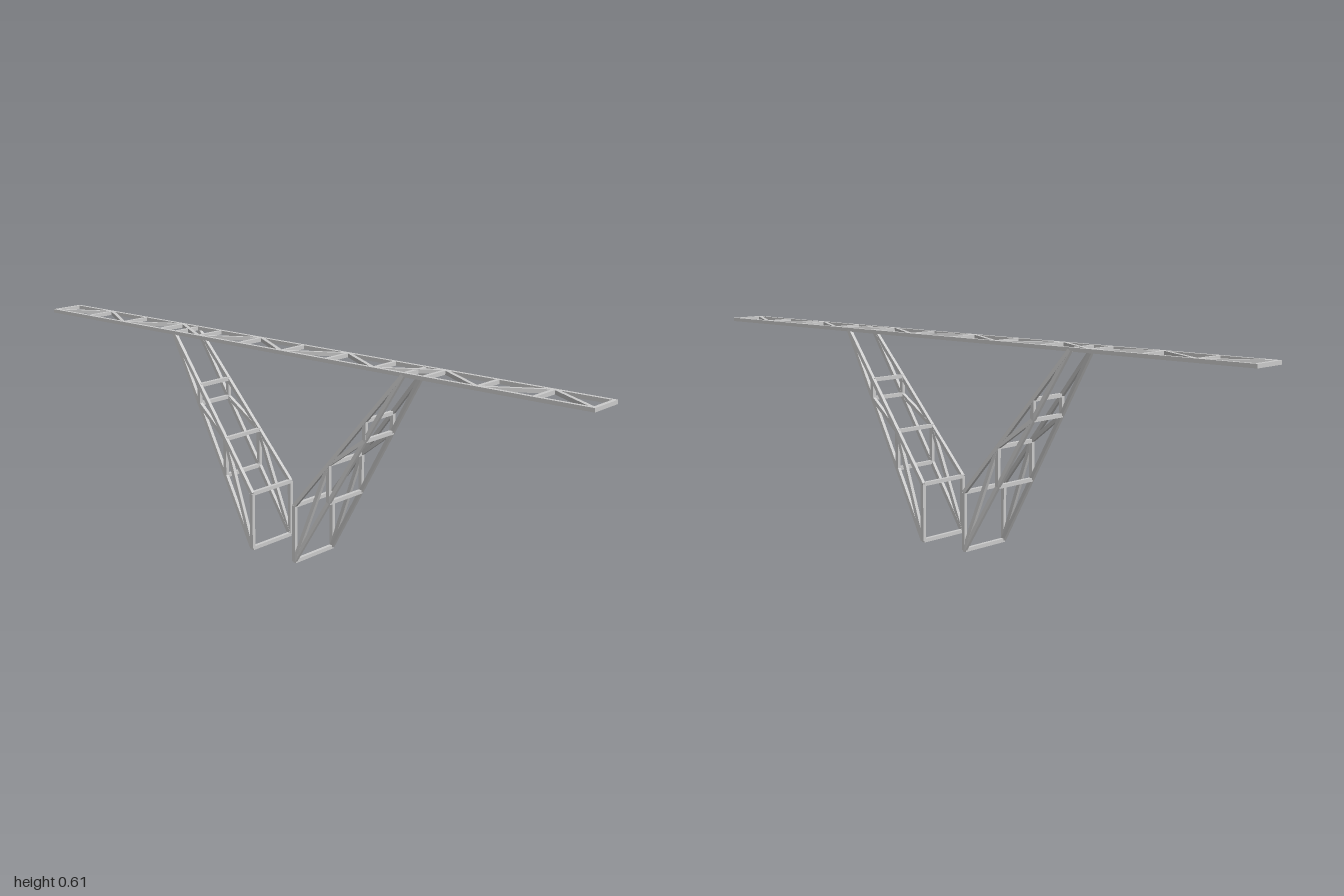
import * as THREE from 'three';

const T = 0.011; // bar thickness
const material = new THREE.MeshStandardMaterial({ color: 0xcccccc, flatShading: true });
const Y = new THREE.Vector3(0, 1, 0);
const Z = new THREE.Vector3(0, 0, 1);

// Square bar between two points; extend lengthens it at both ends
function bar(parent, name, a, b, up = Y, extend = 0) {
  const mesh = new THREE.Mesh(new THREE.BoxGeometry(T, T, a.distanceTo(b) + 2 * extend), material);
  mesh.name = name;
  mesh.up.copy(up);
  mesh.position.copy(a).add(b).multiplyScalar(0.5);
  mesh.lookAt(b);
  parent.add(mesh);
}

// Long flat truss on top
function createDeck() {
  const deck = new THREE.Group();
  deck.name = 'deckTruss';
  const half = 1 - T / 2, z = 0.05, y = 0.605, panels = 12;
  const node = (i, side) => new THREE.Vector3(-half + (2 * half * i) / panels, y, side * z);
  for (const s of [-1, 1]) bar(deck, 'deckRail', node(0, s), node(panels, s), Y, T / 2);
  for (let i = 0; i <= panels; i++) {
    bar(deck, 'deckCrossbar', node(i, -1), node(i, 1));
    const s = i % 2 ? -1 : 1;
    if (i < panels) bar(deck, 'deckDiagonal', node(i, s), node(i + 1, -s));
  }
  return deck;
}

// Tapered leg truss; dir is +1 on the left, -1 on the right
function createLeg(dir) {
  const leg = new THREE.Group();
  leg.name = dir > 0 ? 'leftLeg' : 'rightLeg';
  const point = (y0, t, s) => new THREE.Vector3(
    dir * THREE.MathUtils.lerp(0.083, 0.433, t),
    THREE.MathUtils.lerp(y0, 0.604, t),
    s * THREE.MathUtils.lerp(0.084, 0.05, t));
  const lower = (t, s) => point(0.006, t, s);
  const upper = (t, s) => point(0.175, t, s);

  // Two mirrored side frames
  for (const s of [-1, 1]) {
    bar(leg, 'lowerChord', lower(0, s), lower(1, s), Z);
    bar(leg, 'upperChord', upper(0, s), upper(1, s), Z);
    for (const t of [0, 1 / 3, 2 / 3]) bar(leg, 'legPost', lower(t, s), upper(t, s), Z);
    bar(leg, 'legDiagonal', lower(0, s), upper(1 / 3, s), Z);
    bar(leg, 'legDiagonal', upper(1 / 3, s), lower(2 / 3, s), Z);
  }

  // Crossbars joining the frames
  for (const t of [0, 1 / 3, 2 / 3, 1]) {
    bar(leg, 'lowerCrossbar', lower(t, -1), lower(t, 1));
    if (t < 1) bar(leg, 'upperCrossbar', upper(t, -1), upper(t, 1));
  }
  return leg;
}

export function createModel() {
  const model = new THREE.Group();
  model.name = 'trussBridge';
  model.add(createDeck(), createLeg(1), createLeg(-1));
  return model;
}
